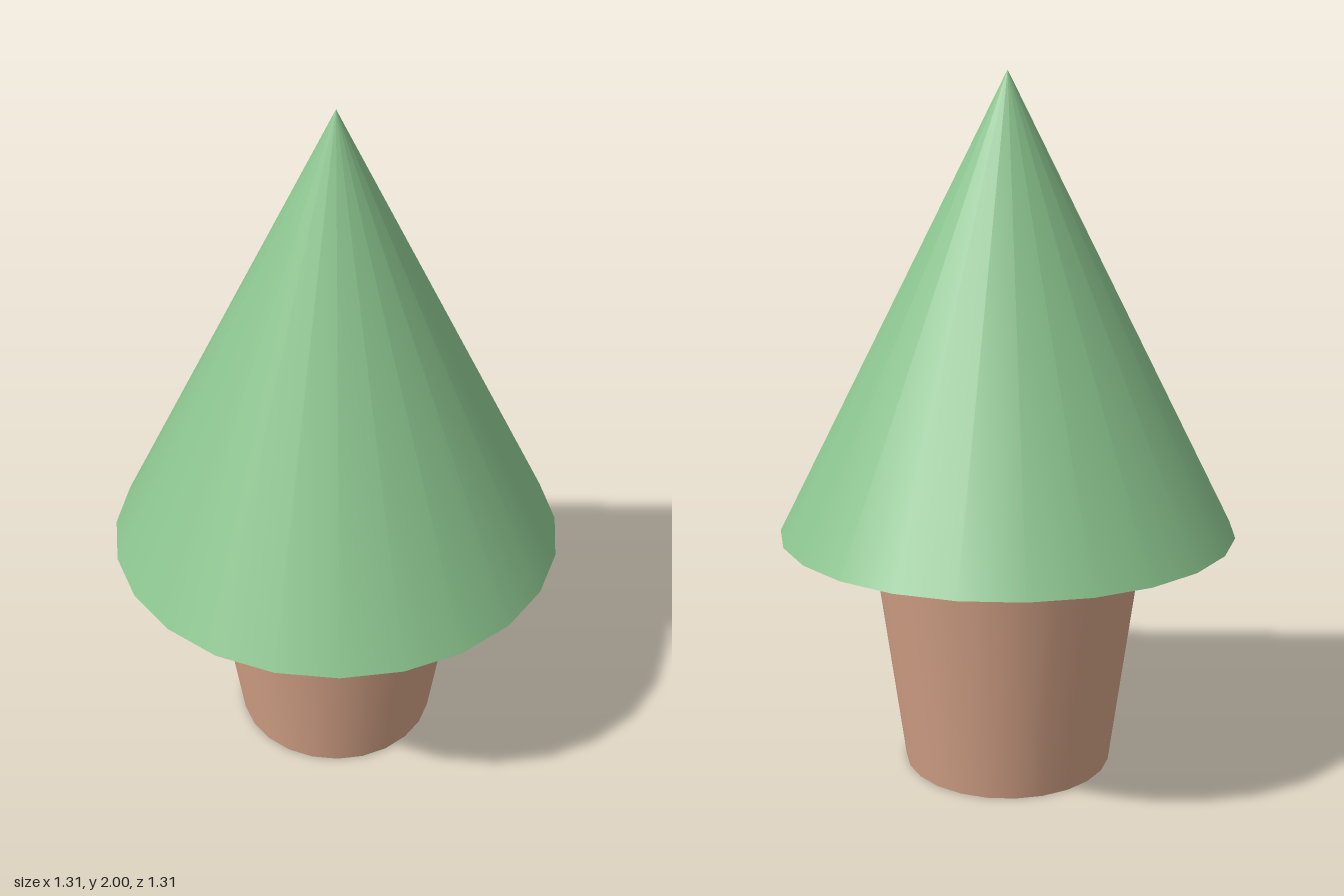
import * as THREE from 'three';

const SIDES = 24;

// Round tapered part standing on height y0 and ending at y1
function taperedPart(name, topRadius, bottomRadius, y0, y1, color) {
  const geometry = new THREE.CylinderGeometry(topRadius, bottomRadius, y1 - y0, SIDES);
  const mesh = new THREE.Mesh(geometry, new THREE.MeshStandardMaterial({ color }));
  mesh.name = name;
  mesh.position.y = (y0 + y1) / 2;
  return mesh;
}

export function createModel() {
  const model = new THREE.Group();
  model.name = 'pottedTree';

  // Pot, widening up to the underside of the foliage
  model.add(taperedPart('pot', 0.4, 0.305, 0, 0.71, 0xd4a287));

  // Conical foliage with a flat underside
  model.add(taperedPart('foliage', 0, 0.657, 0.71, 2, 0x8bc48e));

  return model;
}
